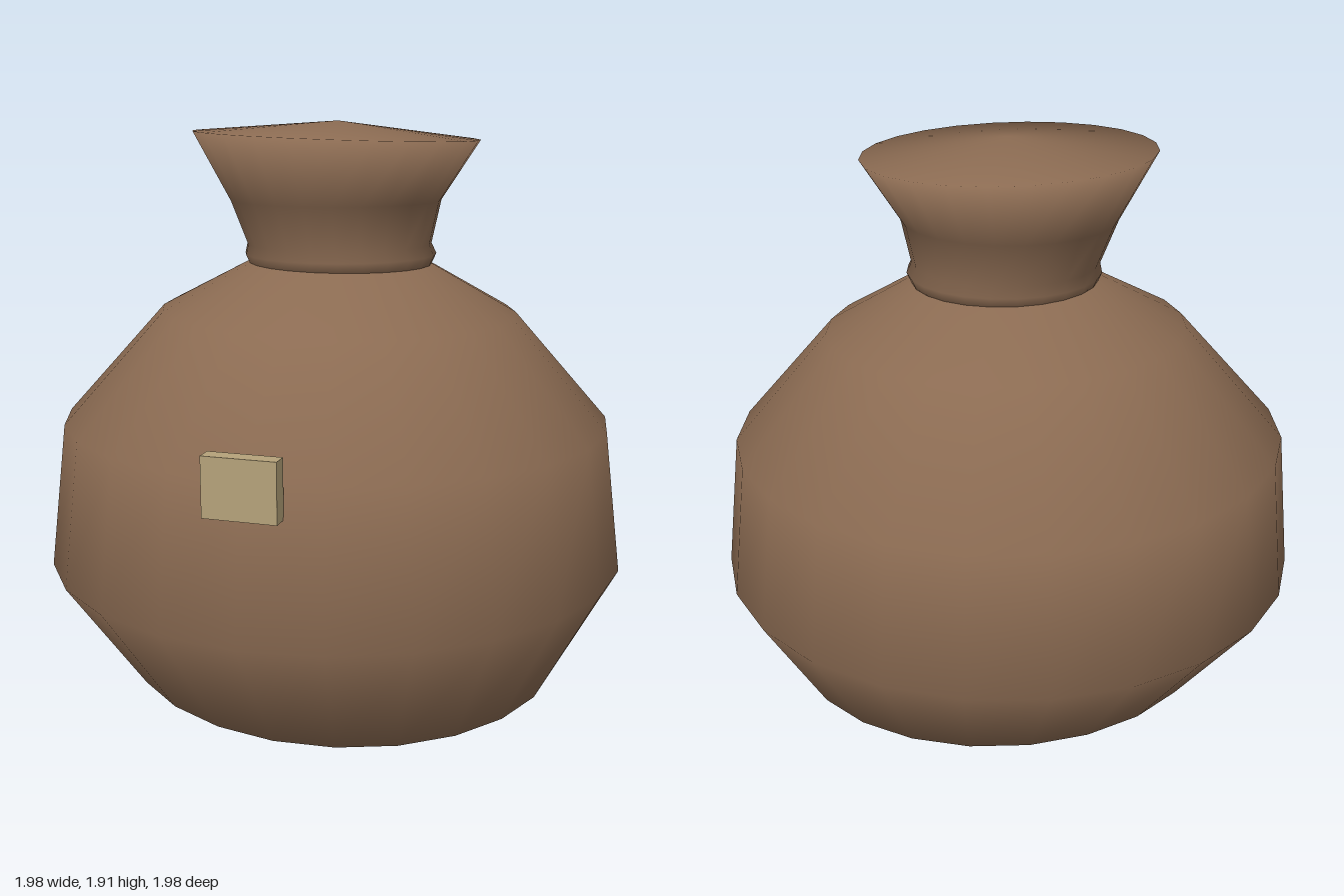
import * as THREE from 'three';

const SIDES = 24;

// Closed, smooth skin over slightly crooked rings, listed from bottom to top.
// Ring: [radius, height, centre x, centre z, tilt along x, tilt along z]
function lumpySkin(bottomY, rings, topY) {
  const pos = [0.01, bottomY, 0];
  const index = [];
  for (const [r, y, cx, cz, tx, tz] of rings) {
    for (let i = 0; i < SIDES; i++) {
      const a = (i / SIDES) * Math.PI * 2;
      const s = Math.sin(a), c = Math.cos(a);
      pos.push(cx + r * s, y + tx * s + tz * c, cz + r * c);
    }
  }
  const top = pos.length / 3;
  pos.push(0, topY, -0.02);
  const at = (ring, i) => 1 + ring * SIDES + (i % SIDES);
  const last = rings.length - 1;
  for (let i = 0; i < SIDES; i++) {
    index.push(0, at(0, i + 1), at(0, i));
    for (let k = 0; k < last; k++) {
      index.push(at(k, i), at(k, i + 1), at(k + 1, i + 1));
      index.push(at(k, i), at(k + 1, i + 1), at(k + 1, i));
    }
    index.push(at(last, i), at(last, i + 1), top);
  }
  const geo = new THREE.BufferGeometry();
  geo.setAttribute('position', new THREE.Float32BufferAttribute(pos, 3));
  geo.setIndex(index);
  geo.computeVertexNormals();
  return geo;
}

export function createModel() {
  const group = new THREE.Group();
  const cloth = new THREE.MeshStandardMaterial({ color: 0x8b6b52 });
  cloth.name = 'brown cloth';
  const tan = new THREE.MeshStandardMaterial({ color: 0xb5a27a });
  tan.name = 'tan patch';

  const add = (name, geometry, material) => {
    const mesh = new THREE.Mesh(geometry, material);
    mesh.name = name;
    group.add(mesh);
    return mesh;
  };

  // Sagging sack body
  add('sackBody', lumpySkin(0, [
    [0.75, 0.067, 0.025, -0.005, -0.025, -0.027],
    [0.99, 0.44, 0, -0.005, 0, -0.004],
    [0.935, 0.913, -0.005, -0.02, -0.005, 0.005],
    [0.605, 1.284, 0.005, -0.02, -0.012, -0.005],
    [0.31, 1.445, 0.01, -0.02, -0.005, 0],
  ], 1.46), cloth);

  // Gathered neck flaring to a closed, slightly domed mouth
  add('sackNeck', lumpySkin(1.42, [
    [0.305, 1.43, 0.01, -0.02, 0, 0],
    [0.325, 1.475, 0.01, -0.02, 0, 0],
    [0.313, 1.51, 0.005, -0.02, 0, 0],
    [0.357, 1.655, -0.008, -0.02, 0, 0],
    [0.482, 1.868, -0.005, -0.02, -0.015, 0.003],
  ], 1.915), cloth);

  // Sewn-on patch at the front
  add('frontPatch', new THREE.BoxGeometry(0.23, 0.185, 0.055), tan)
    .position.set(0.01, 0.912, 0.936);

  return group;
}
